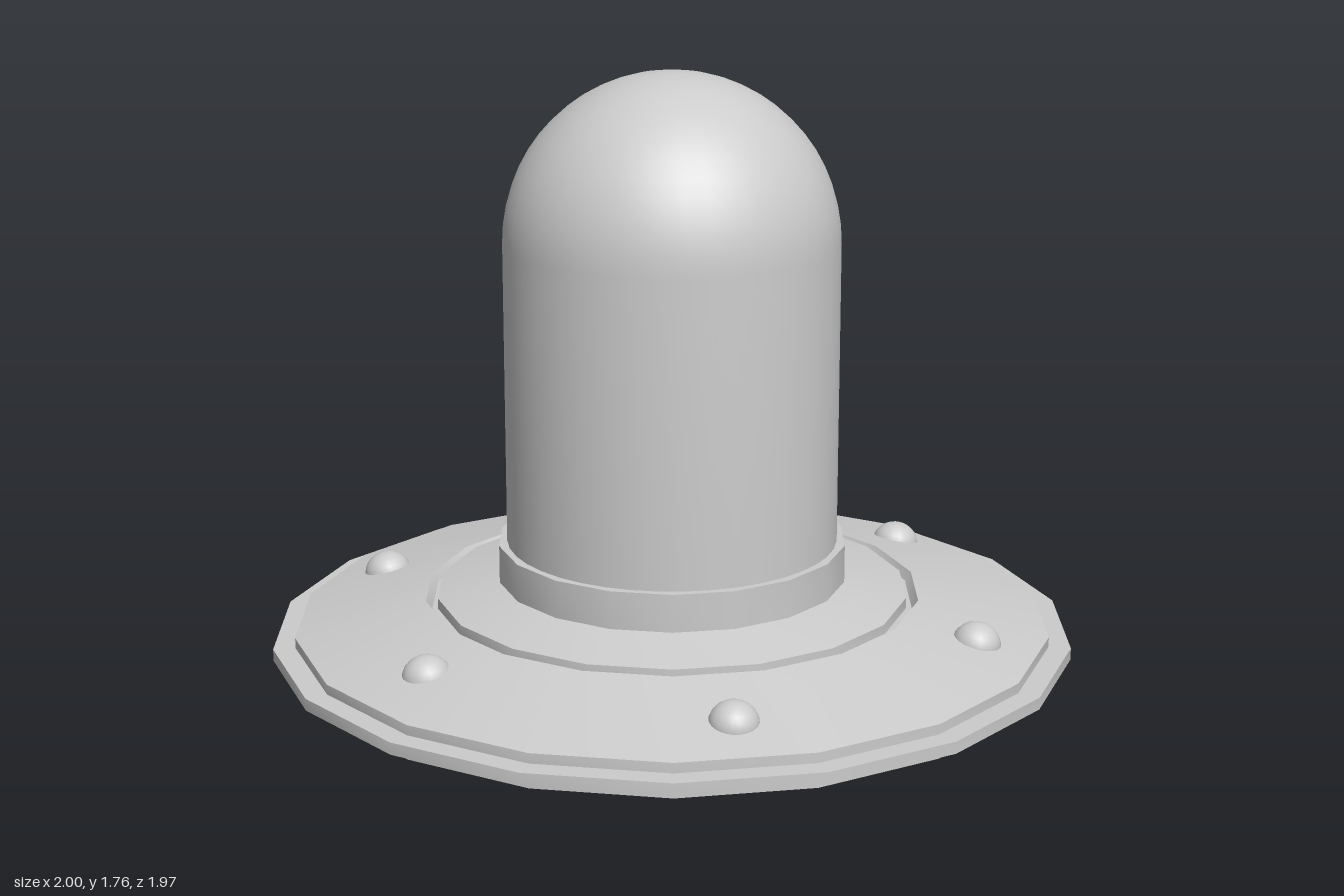
import * as THREE from 'three';
import { toCreasedNormals } from 'three/addons/utils/BufferGeometryUtils.js';

const material = new THREE.MeshStandardMaterial({ color: 0xcccccc, side: THREE.DoubleSide });

// Turns a profile of [radius, y] points, listed bottom to top, with a vertex on +x
function turned(name, profile, sides, crease) {
  const points = profile.map(([r, y]) => new THREE.Vector2(r, y));
  const lathe = new THREE.LatheGeometry(points, sides, Math.PI / 2);
  const mesh = new THREE.Mesh(toCreasedNormals(lathe, crease), material);
  mesh.name = name;
  return mesh;
}

export function createModel() {
  const model = new THREE.Group();
  model.name = 'domedSaucer';

  // Hollow foot, lower cone, stepped rim and grooved upper cone
  model.add(turned('saucer', [
    [0, 0.075], [0.26, 0.075], [0.26, 0], [0.265, 0],
    [0.45, 0.175], [0.945, 0.3],
    [0.945, 0.33], [1, 0.33], [1, 0.36], [0.945, 0.36], [0.945, 0.385],
    [0.62, 0.462], [0.605, 0.44], [0.59, 0.44], [0.59, 0.467],
    [0.435, 0.5],
  ], 18, 0.4));

  // Collar around the foot of the dome
  model.add(turned('collar', [
    [0.435, 0.49], [0.435, 0.595], [0.4, 0.595],
  ], 18, 0.4));

  // Straight wall closed by a hemisphere
  const domeProfile = [[0.412, 0.56]];
  const rings = 14;
  for (let i = 0; i <= rings; i++) {
    const a = (i / rings) * Math.PI / 2;
    domeProfile.push([i === rings ? 0 : 0.412 * Math.cos(a), 1.353 + 0.412 * Math.sin(a)]);
  }
  model.add(turned('dome', domeProfile, 40, 0.5));

  // Six studs set on the upper cone; the front one sits slightly further in
  const studGeometry = new THREE.SphereGeometry(0.06, 20, 14);
  for (let i = 0; i < 6; i++) {
    const a = (i / 6) * Math.PI * 2;
    const r = i === 0 ? 0.757 : 0.787;
    const stud = new THREE.Mesh(studGeometry, material);
    stud.name = 'stud';
    stud.position.set(r * Math.sin(a), 0.408, r * Math.cos(a));
    stud.rotation.set(0.23, a, 0, 'YXZ');
    stud.scale.y = 0.92;
    model.add(stud);
  }
  return model;
}
